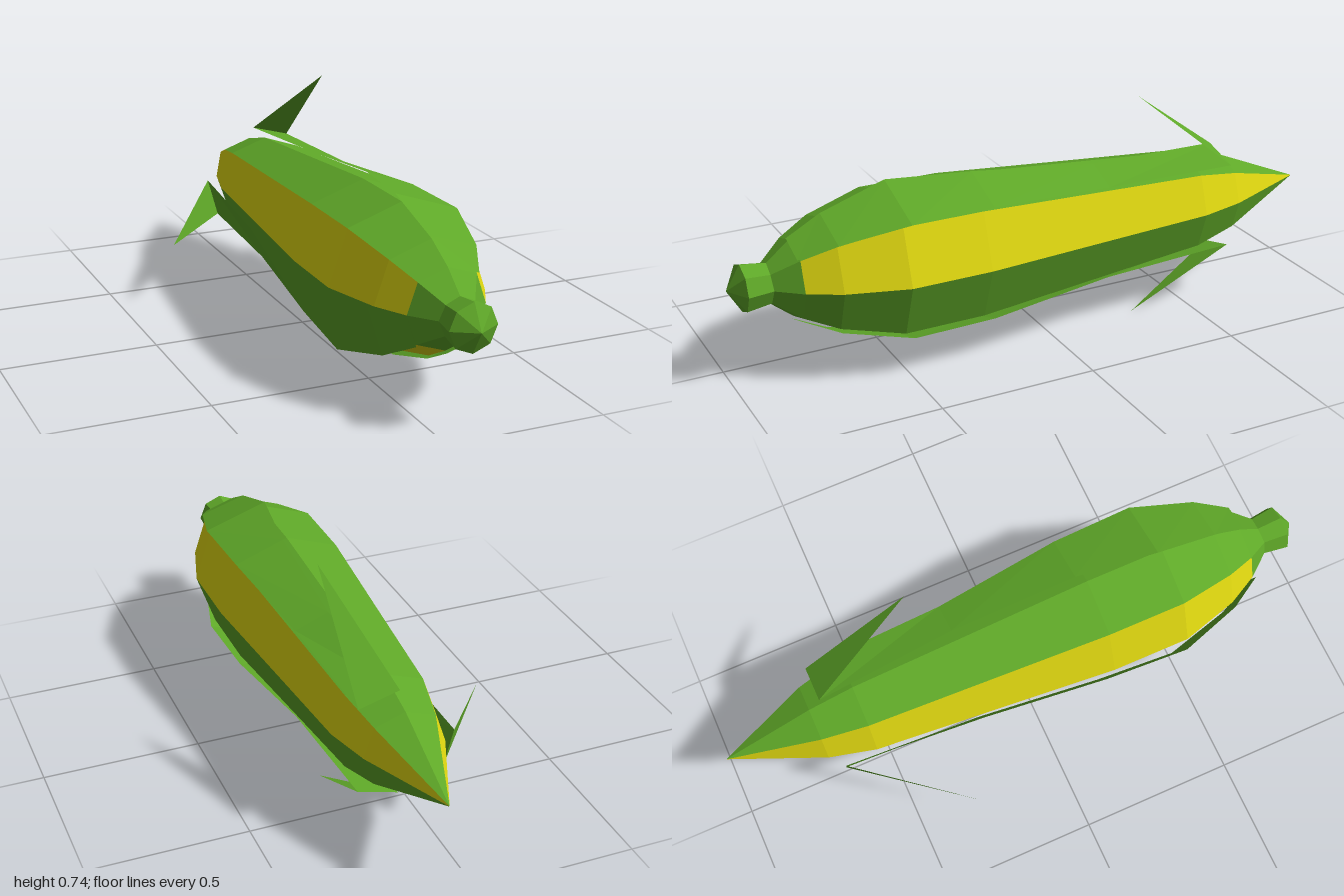
import * as THREE from 'three';

// Axis of the cob in the x/y plane
const CX = 0.095, CY = 0.315;

const green = new THREE.MeshStandardMaterial({ color: 0x5fa828, flatShading: true, side: THREE.DoubleSide });
green.name = 'husk green';
const yellow = new THREE.MeshStandardMaterial({ color: 0xe0d810, flatShading: true });
yellow.name = 'kernel yellow';

// Strip of flat quads between two edge lines; each row is [edgeA, edgeB], front to back
function strip(rows) {
  const pos = [];
  for (let i = 0; i < rows.length - 1; i++) {
    const [a, b] = rows[i], [c, d] = rows[i + 1];
    pos.push(...a, ...c, ...d, ...a, ...d, ...b);
  }
  return fromPositions(pos);
}

function fromPositions(pos) {
  const g = new THREE.BufferGeometry();
  g.setAttribute('position', new THREE.Float32BufferAttribute(pos, 3));
  g.computeVertexNormals();
  return g;
}

function add(group, name, geometry, material) {
  const mesh = new THREE.Mesh(geometry, material);
  mesh.name = name;
  group.add(mesh);
}

// Point on the eight-sided body, a little wider on the diagonals
function ringPoint(step, [z, r]) {
  const a = step * Math.PI / 4, k = step % 2 ? 1.05 : 1;
  return [Math.cos(a) * r * k, Math.sin(a) * r * k, z];
}

function panel(step, profile) {
  return strip(profile.map(p => [ringPoint(step, p), ringPoint(step + 1, p)]));
}

export function createModel() {
  const model = new THREE.Group();
  model.name = 'cornCob';
  const cob = new THREE.Group();
  cob.name = 'cob';
  cob.position.set(CX, CY, 0);
  model.add(cob);

  // Body panels: [z, radius] from the stem to the pointed end
  const collar = [[0.88, 0.06], [0.8, 0.125]];
  const body = [[0.8, 0.125], [0.7, 0.178], [0.51, 0.233], [0.25, 0.232],
    [-0.2, 0.194], [-0.55, 0.165], [-0.7, 0.127], [-0.995, 0.001]];
  const kernelSides = [0, 3, 5];
  for (let i = 0; i < 8; i++) {
    const kernels = kernelSides.includes(i);
    add(cob, 'collar', panel(i, collar), green);
    add(cob, kernels ? 'kernels' : 'husk', panel(i, body), kernels ? yellow : green);
  }

  // Stem stub with a shallow point
  const stem = new THREE.LatheGeometry([
    new THREE.Vector2(0.064, 0.87), new THREE.Vector2(0.076, 0.955), new THREE.Vector2(0, 1),
  ], 8);
  stem.rotateX(Math.PI / 2);
  add(cob, 'stem', stem, green);

  // Loose outer leaf: [z, lower edge x, y, upper edge x, y]
  const leafRows = [
    [0.81, 0.095, 0.098, 0, 0.13],
    [0.7, 0.145, 0.14, -0.005, 0.187],
    [0.49, 0.195, 0.183, -0.011, 0.253],
    [0.22, 0.185, 0.184, 0.025, 0.243],
    [-0.2, 0.142, 0.154, 0.035, 0.196],
    [-0.66, 0.127, 0.14, 0, 0.175],
  ];
  const leaves = [
    { place: (x, y) => [x, y], tip: [0.11, 0.427], flare: 1 },
    { place: (x, y) => [-y, -x], tip: [0.1, 0.425], flare: 1.06 },
    { place: (x, y) => [x, -y], tip: [0.11, 0.312], flare: 1 },
  ];
  for (const { place, tip, flare } of leaves) {
    const at = (x, y, z) => [...place(x, y), z];
    const rows = leafRows.map(([z, x0, y0, x1, y1]) => {
      const k = z > 0.3 && z < 0.8 ? flare : 1;
      return [at(x0 * k, y0 * k, z), at(x1 * k, y1 * k, z)];
    });
    add(cob, 'outerLeaf', strip(rows), green);
    // Leaf end folded back into a spike
    const [b, a] = rows[rows.length - 1];
    add(cob, 'leafTip', fromPositions([...a, ...b, ...at(tip[0], tip[1], -0.31)]), green);
  }
  return model;
}
